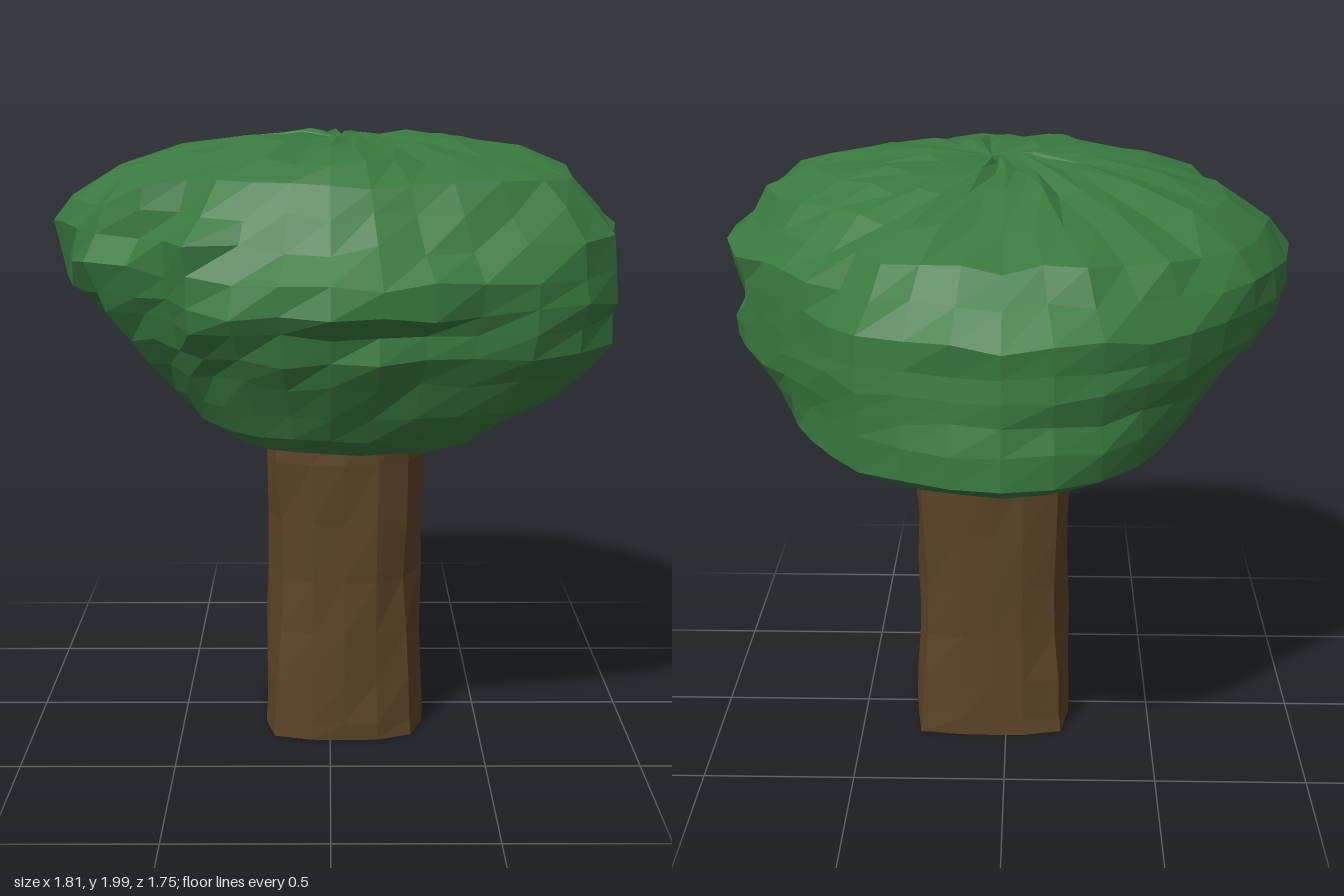
import * as THREE from 'three';

// Closed faceted skin over rings of points (bottom to top), capped by two poles
function loft(rings, bottom, top) {
  const n = rings[0].length, pos = [bottom, ...rings.flat(), top].flat(), idx = [];
  const at = (j, i) => 1 + j * n + (i % n), last = 1 + rings.length * n;
  for (let i = 0; i < n; i++) {
    idx.push(0, at(0, i), at(0, i + 1));
    for (let j = 0; j < rings.length - 1; j++) {
      const a = at(j, i), b = at(j + 1, i), c = at(j, i + 1), d = at(j + 1, i + 1);
      idx.push(a, b, c, c, b, d);
    }
    idx.push(at(rings.length - 1, i), last, at(rings.length - 1, i + 1));
  }
  const g = new THREE.BufferGeometry();
  g.setAttribute('position', new THREE.Float32BufferAttribute(pos, 3));
  g.setIndex(idx);
  g.computeVertexNormals();
  return g;
}

function seeded(s) {
  return () => {
    s = (s * 1664525 + 1013904223) >>> 0;
    return s / 4294967296;
  };
}

function part(name, geometry, color) {
  const mesh = new THREE.Mesh(geometry, new THREE.MeshStandardMaterial({ color, flatShading: true }));
  mesh.name = name;
  return mesh;
}

// Trunk: rounded square section whose corners soften at mid height
const CORNERS = { 2: 0.99, 6: 1.04, 10: 1.06, 14: 1.1 }; // sharpest at back left

function trunkGeometry() {
  const rand = seeded(5), n = 16, rings = [];
  // height, half width, squareness
  const rows = [[0, 0.268, 4], [0.06, 0.267, 3.8], [0.2, 0.264, 3.2], [0.37, 0.262, 2.7],
    [0.55, 0.261, 2.5], [0.75, 0.261, 2.7], [0.95, 0.264, 3.1], [1.08, 0.26, 3.1]];
  rows.forEach(([y, h, p], j) => {
    const ring = [];
    for (let i = 0; i < n; i++) {
      const a = (i / n) * Math.PI * 2, c = Math.cos(a), s = Math.sin(a);
      let r = (CORNERS[i] ?? 1) * h / Math.pow(Math.abs(c) ** p + Math.abs(s) ** p, 1 / p);
      if (j) r += (rand() - 0.5) * 0.012;
      ring.push([0.048 + c * r, y, 0.038 + s * r]);
    }
    rings.push(ring);
  });
  return loft(rings, [0.048, 0, 0.038], [0.048, 1.08, 0.038]);
}

// Crown plan: radius every 15 degrees, from the left side round by the front
const PLAN = [0.9, 0.93, 1.02, 1.0, 0.9, 0.88, 0.88, 0.86, 0.86, 0.79, 0.88, 0.86,
  0.9, 0.9, 0.89, 0.87, 0.87, 0.87, 0.87, 0.84, 0.86, 0.8, 0.8, 0.84];

// Crown reach by height: y, left, right, front, back
const REACH = [
  [0.99, 0.28, 0.2, 0.22, 0.23], [1.05, 0.43, 0.34, 0.53, 0.54], [1.12, 0.61, 0.44, 0.64, 0.71],
  [1.2, 0.74, 0.53, 0.68, 0.86], [1.3, 0.82, 0.64, 0.74, 0.87], [1.38, 0.88, 0.72, 0.79, 0.85],
  [1.46, 0.88, 0.8, 0.83, 0.85], [1.52, 0.88, 0.85, 0.85, 0.84], [1.61, 0.88, 0.88, 0.83, 0.84],
  [1.7, 0.89, 0.89, 0.76, 0.75], [1.79, 0.82, 0.83, 0.71, 0.68], [1.87, 0.75, 0.69, 0.67, 0.5],
  [1.93, 0.61, 0.48, 0.59, 0.3], [1.97, 0.45, 0.27, 0.42, 0.17], [1.98, 0.24, 0.1, 0.25, 0.06]];

// Hollows and bulges: angle in degrees, y, angular spread, height spread, depth
const DENTS = [[78, 1.45, 15, 0.035, -0.05], [45, 1.05, 22, 0.06, 0.1], [42, 1.2, 24, 0.08, 0.07],
  [45, 1.95, 32, 0.05, -0.09], [132, 1.6, 7, 0.2, -0.03], [121, 1.7, 9, 0.07, 0.05],
  [148, 1.72, 12, 0.05, -0.03], [142, 1.86, 10, 0.05, 0.09], [160, 1.46, 12, 0.05, -0.03],
  [180, 1.66, 12, 0.06, 0.02], [5, 1.53, 14, 0.05, -0.02], [270, 1.76, 16, 0.05, -0.04],
  [318, 1.84, 12, 0.05, -0.05], [225, 1.88, 14, 0.05, -0.04]];

function crownGeometry() {
  const rand = seeded(23), n = 36;
  const rings = REACH.map(([y, left, right, front, back]) => {
    const ring = [], calm = 1 - THREE.MathUtils.smoothstep(y, 1.1, 1.35);
    for (let i = 0; i < n; i++) {
      const deg = (i * 360) / n, a = THREE.MathUtils.degToRad(deg), c = Math.cos(a), s = Math.sin(a);
      const k = Math.floor(deg / 15);
      let plan = THREE.MathUtils.lerp(PLAN[k], PLAN[(k + 1) % 24], deg / 15 - k);
      plan = THREE.MathUtils.lerp(plan, 0.89, calm); // the underside is rounder
      let r = plan * ((c > 0 ? left : right) / 0.9 * c * c + (s > 0 ? front : back) / 0.87 * s * s);
      for (const [da, dy, wa, wy, depth] of DENTS)
        r += depth * Math.exp(-(((deg - da) / wa) ** 2) - ((y - dy) / wy) ** 2);
      // Leafy roughness: calm underneath and at the back, livelier elsewhere
      const rough = y < 1.25 ? 0.01 : s < -0.3 && y < 1.65 ? 0.015 : 0.035;
      r += (rand() - 0.5) * rough;
      const lift = (rand() - 0.5) * (y < 1.25 ? 0.01 : 0.03);
      ring.push([c * r, Math.min(y + lift, 2), s * r]);
    }
    return ring;
  });
  // Ease the smallest rings onto the trunk axis
  for (const ring of [rings[0], rings[rings.length - 1]])
    for (const p of ring) { p[0] += 0.02; p[2] += 0.01; }
  return loft(rings, [0.05, 0.98, 0.04], [0.05, 1.965, 0.06]);
}

export function createModel() {
  const tree = new THREE.Group();
  tree.name = 'tree';
  tree.add(part('trunk', trunkGeometry(), 0x5c4426), part('crown', crownGeometry(), 0x38793e));
  return tree;
}
